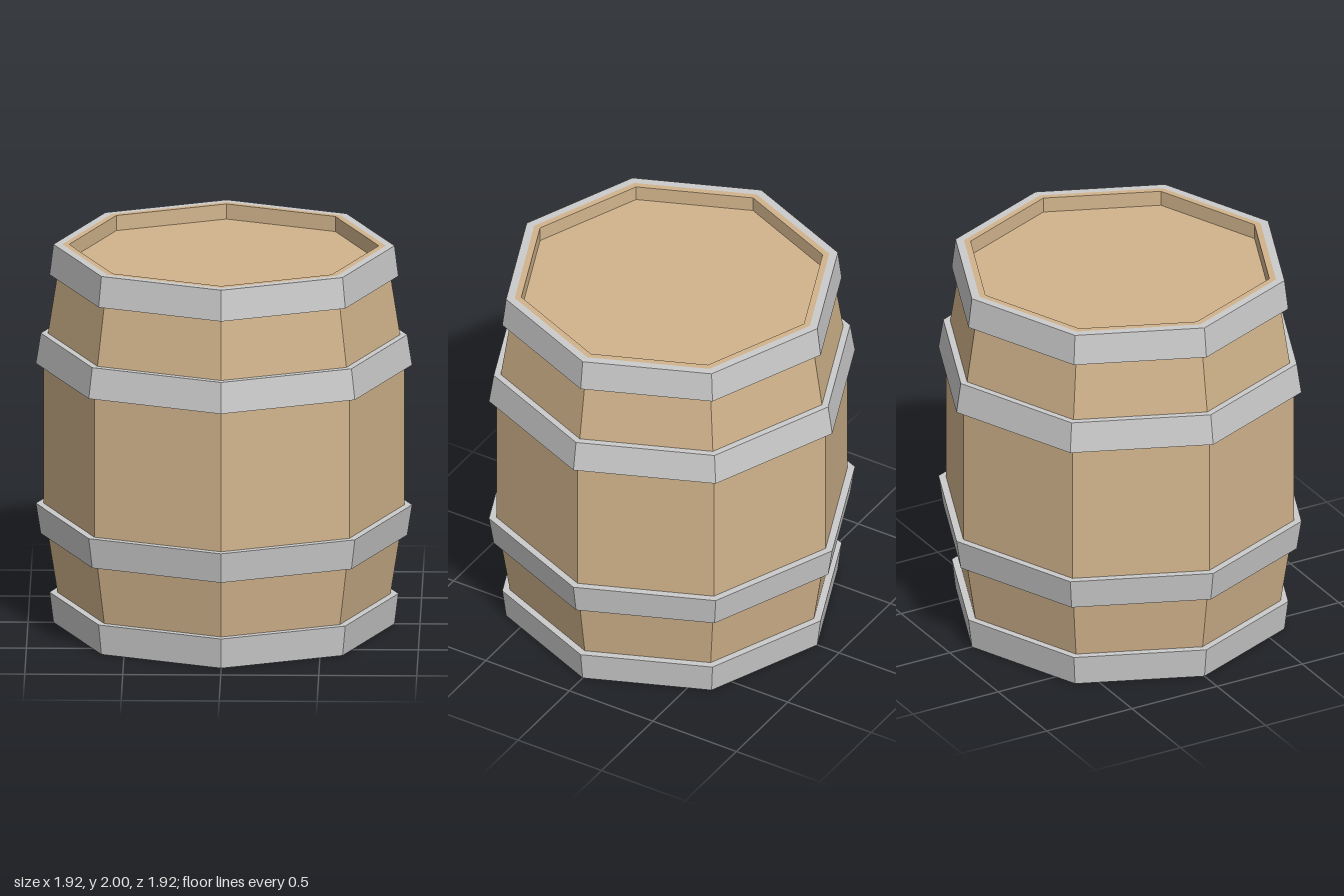
import * as THREE from 'three';

const SIDES = 8;
const wood = new THREE.MeshStandardMaterial({ color: 0xd2b48c, flatShading: true });
const iron = new THREE.MeshStandardMaterial({ color: 0xcccccc, flatShading: true });

// Eight-sided turned part from [radius, height] pairs, listed upwards on the outside
function turned(name, profile, material) {
  const points = profile.map(([r, y]) => new THREE.Vector2(r, y));
  const mesh = new THREE.Mesh(new THREE.LatheGeometry(points, SIDES), material);
  mesh.name = name;
  return mesh;
}

// Swap a lower profile to the upper end, keeping the outside running upwards
const mirrored = (profile) => profile.map(([r, y]) => [r, 2 - y]).reverse();

export function createModel() {
  const barrel = new THREE.Group();
  barrel.name = 'barrel';

  // Staves with a recessed head at each end
  const lowerHalf = [[0, 0.08], [0.79, 0.08], [0.79, 0], [0.825, 0], [0.92, 0.61]];
  barrel.add(turned('staves', [...lowerHalf, ...mirrored(lowerHalf)], wood));

  // Hoops: closed bands that flare towards the belly
  const endHoop = [[0.825, 0], [0.87, 0], [0.89, 0.16], [0.845, 0.16], [0.825, 0]];
  const bellyHoop = [[0.88, 0.47], [0.935, 0.47], [0.96, 0.63], [0.91, 0.63], [0.88, 0.47]];
  for (const [name, profile] of [['EndHoop', endHoop], ['BellyHoop', bellyHoop]]) {
    barrel.add(turned('lower' + name, profile, iron));
    barrel.add(turned('upper' + name, mirrored(profile), iron));
  }
  return barrel;
}
